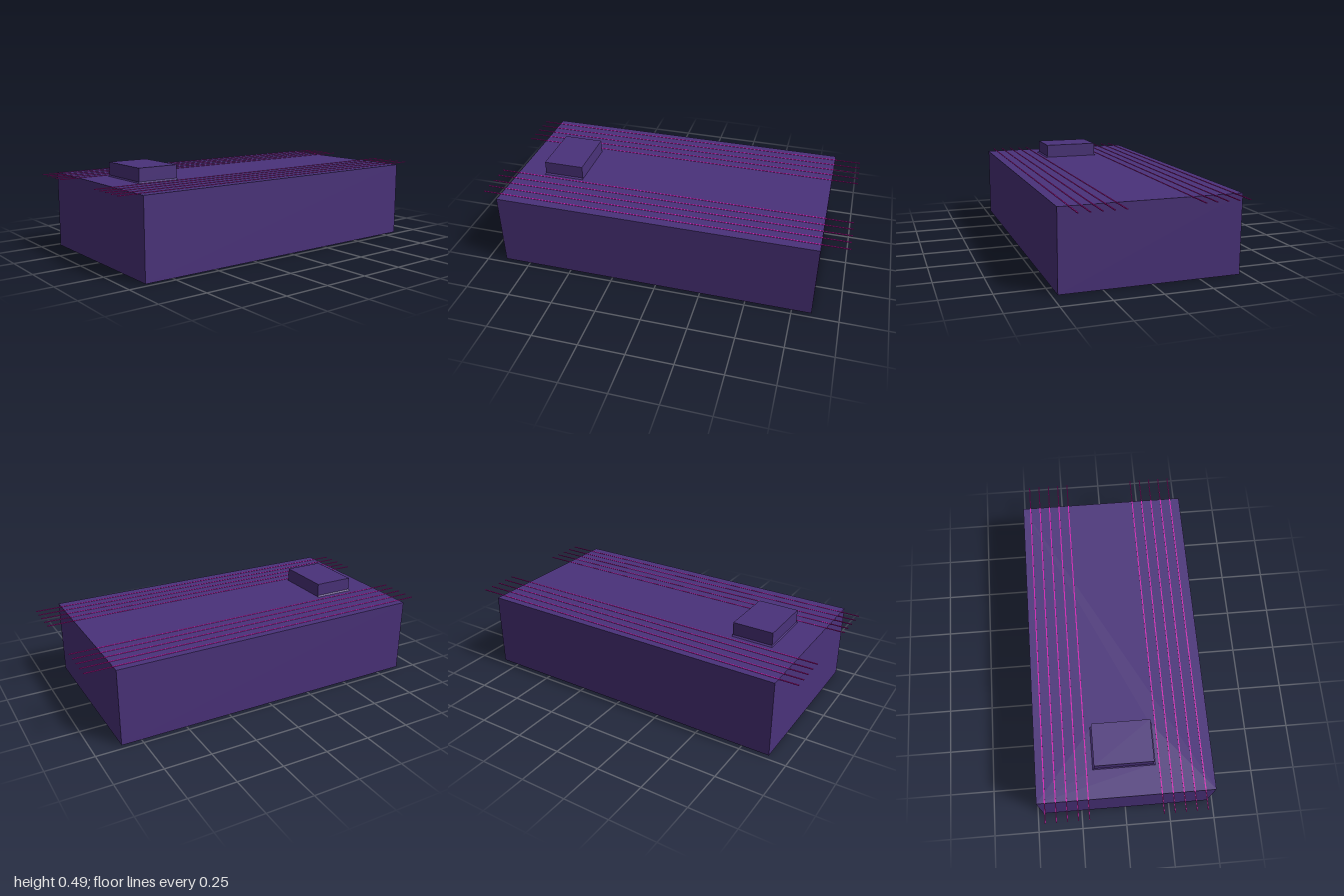
import * as THREE from 'three';

const purple = new THREE.MeshStandardMaterial({ color: 0x4a327a, side: THREE.DoubleSide });
purple.name = 'deep purple';
const magenta = new THREE.MeshStandardMaterial({ color: 0xd01cb0 });
magenta.name = 'magenta';

// Box whose listed faces (0..5 = +x, -x, +y, -y, +z, -z) are left out
function openBox(w, h, d, omit) {
  const g = new THREE.BoxGeometry(w, h, d);
  const index = Array.from(g.index.array).filter((_, i) => !omit.includes(Math.floor(i / 6)));
  g.setIndex(index);
  g.clearGroups();
  return g;
}

export function createModel() {
  const model = new THREE.Group();
  const add = (name, geometry, material, x, y, z) => {
    const mesh = new THREE.Mesh(geometry, material);
    mesh.name = name;
    mesh.position.set(x, y, z);
    model.add(mesh);
  };

  const halfW = 0.47, height = 0.416, back = -0.855, front = 0.898;
  const bw = 0.157, b0 = 0.516, b1 = 0.74, blockTop = 0.493, lip = 0.423;
  const midZ = (front + back) / 2, blockZ = (b0 + b1) / 2;

  // Hollow body, open underneath
  add('bodyWalls', openBox(halfW * 2, height, front - back, [2, 3]), purple, 0, height / 2, midZ);

  // Top panel with an opening below the raised block
  const rect = (path, x, z0, z1) => path.moveTo(-x, -z0).lineTo(x, -z0).lineTo(x, -z1).lineTo(-x, -z1).closePath();
  const panel = new THREE.Shape();
  rect(panel, halfW, front, back);
  const opening = new THREE.Path();
  rect(opening, bw, b0, b1);
  panel.holes.push(opening);
  add('topPanel', new THREE.ShapeGeometry(panel).rotateX(-Math.PI / 2), purple, 0, height, 0);

  // Hollow raised block
  add('raisedBlock', openBox(bw * 2, blockTop - height, b1 - b0, [3]), purple,
    0, (blockTop + height) / 2, blockZ);

  // Foot flaring to the sides and front of the block
  const foot = openBox(bw * 2, lip - height, b1 - b0, [2, 3]);
  const p = foot.attributes.position;
  for (let i = 0; i < p.count; i++) {
    if (p.getY(i) < 0) {
      p.setX(i, p.getX(i) + Math.sign(p.getX(i)) * 0.009);
      if (p.getZ(i) > 0) p.setZ(i, p.getZ(i) + 0.005);
    }
  }
  foot.computeVertexNormals();
  add('blockFoot', foot, purple, 0, (lip + height) / 2, blockZ);

  // Two sets of five fine rails overhanging both ends
  const rail = new THREE.BoxGeometry(0.006, 0.004, 2);
  for (const start of [-0.427, 0.187]) {
    for (let i = 0; i < 5; i++) add('rail', rail, magenta, start + i * 0.057, height, 0);
  }
  return model;
}
